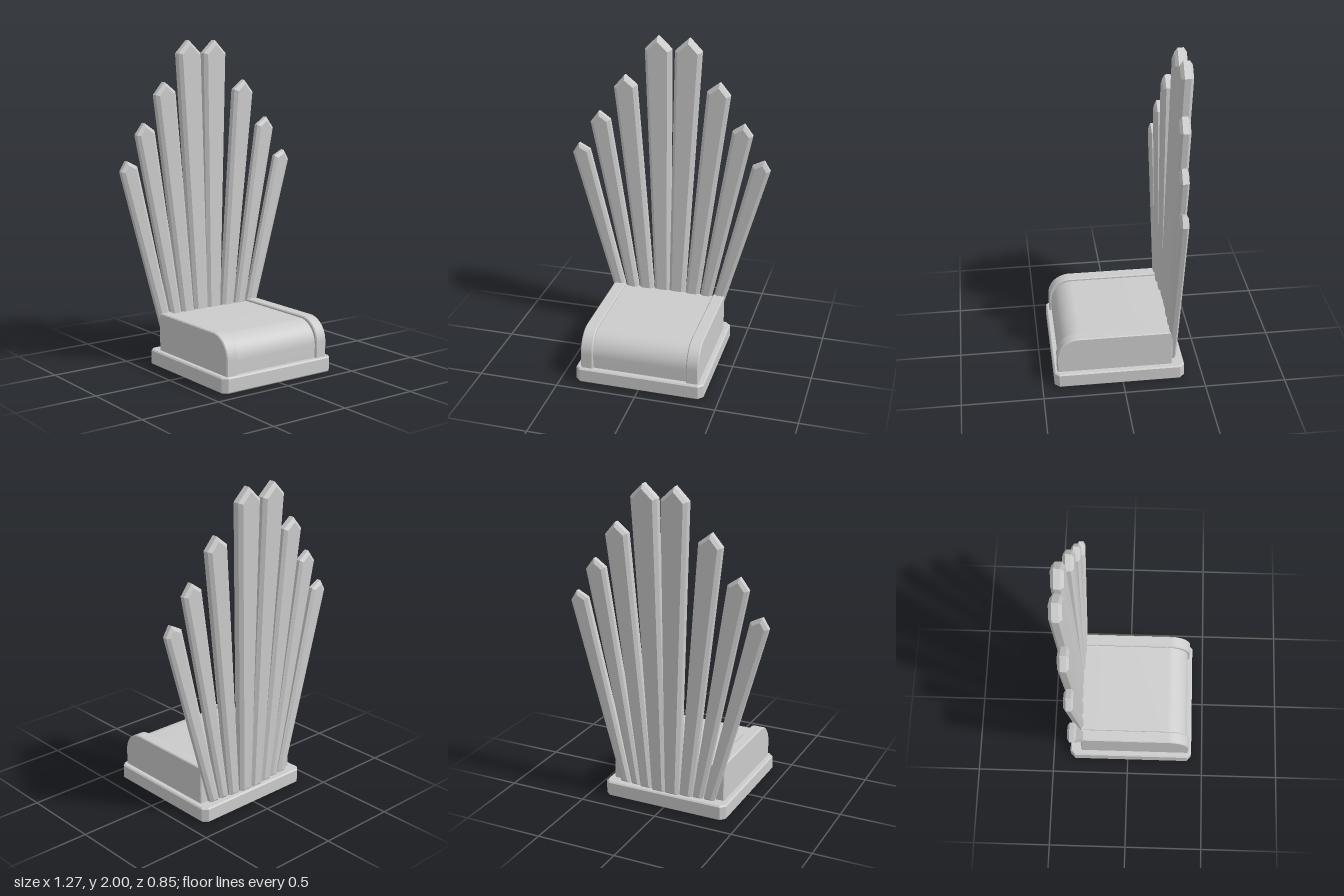
import * as THREE from 'three';
import { toCreasedNormals } from 'three/addons/utils/BufferGeometryUtils.js';

const material = new THREE.MeshStandardMaterial({ color: 0xcccccc });

function addMesh(parent, name, geometry) {
  const mesh = new THREE.Mesh(geometry, material);
  mesh.name = name;
  parent.add(mesh);
}

// Extrudes a shape to the given total depth, centred on z, with an inset bevel.
function bevelled(shape, depth, size, thickness, segments = 1) {
  const geometry = new THREE.ExtrudeGeometry(shape, {
    depth: depth - 2 * thickness, bevelSize: size, bevelOffset: -size,
    bevelThickness: thickness, bevelSegments: segments, curveSegments: 12,
  });
  return geometry.translate(0, 0, thickness - depth / 2);
}

// Side profile with a rounded upper front edge, extruded across the width.
function roundedBlock(back, front, bottom, top, radius, width, bevel) {
  const s = new THREE.Shape();
  s.moveTo(back, bottom);
  s.lineTo(front, bottom);
  s.lineTo(front, top - radius);
  s.absarc(front - radius, top - radius, radius, 0, Math.PI / 2, false);
  s.lineTo(back, top);
  s.closePath();
  const geometry = bevelled(s, width, bevel, bevel).rotateY(-Math.PI / 2);
  return toCreasedNormals(geometry, 0.5);
}

// Pointed tapering slat, leaning back by a shear in z.
function slatGeometry({ foot, inner, tip, outer, zFoot, zTip, depth }, side) {
  const y0 = 0.085;
  const corners = [[foot[0], y0], [foot[1], y0], outer, tip, inner];
  const points = corners.map(([x, y]) => new THREE.Vector2(side * x, y));
  const geometry = bevelled(new THREE.Shape(points), depth, 0.02, depth * 0.25);
  const p = geometry.attributes.position;
  for (let i = 0; i < p.count; i++) {
    const t = (p.getY(i) - y0) / (tip[1] - y0);
    p.setZ(i, p.getZ(i) + THREE.MathUtils.lerp(zFoot, zTip, t));
  }
  geometry.computeVertexNormals();
  return geometry;
}

export function createModel() {
  const model = new THREE.Group();
  model.name = 'fanBackThrone';

  // Plinth with clipped corners
  const w = 0.405, d = 0.405, c = 0.03;
  const plan = new THREE.Shape([
    [-w + c, -d], [w - c, -d], [w, -d + c], [w, d - c],
    [w - c, d], [-w + c, d], [-w, d - c], [-w, -d + c],
  ].map(([x, y]) => new THREE.Vector2(x, y)));
  const plinth = bevelled(plan, 0.095, 0.008, 0.008).rotateX(-Math.PI / 2);
  addMesh(model, 'plinth', plinth.translate(0, 0.0475, 0.02));

  // Seat cushion between the arms
  addMesh(model, 'seat', roundedBlock(-0.31, 0.39, 0.085, 0.315, 0.14, 0.6, 0.002));

  // Arms and the fan of back slats, mirrored
  const slats = [
    { foot: [-0.004, 0.09], inner: [0.012, 1.92], tip: [0.098, 2.0], outer: [0.177, 1.92], zFoot: -0.335, zTip: -0.39, depth: 0.075 },
    { foot: [0.091, 0.172], inner: [0.223, 1.69], tip: [0.3, 1.75], outer: [0.366, 1.672], zFoot: -0.328, zTip: -0.352, depth: 0.066 },
    { foot: [0.174, 0.239], inner: [0.39, 1.46], tip: [0.462, 1.51], outer: [0.516, 1.438], zFoot: -0.322, zTip: -0.327, depth: 0.056 },
    { foot: [0.245, 0.313], inner: [0.523, 1.253], tip: [0.595, 1.29], outer: [0.634, 1.225], zFoot: -0.32, zTip: -0.312, depth: 0.052 },
  ];
  for (const side of [1, -1]) {
    const label = side > 0 ? 'left' : 'right';
    const arm = roundedBlock(-0.31, 0.405, 0.085, 0.33, 0.14, 0.076, 0.006);
    addMesh(model, label + 'Arm', arm.translate(side * 0.333, 0, 0));
    slats.forEach((slat, i) =>
      addMesh(model, `${label}BackSlat${i + 1}`, slatGeometry(slat, side)));
  }
  return model;
}
